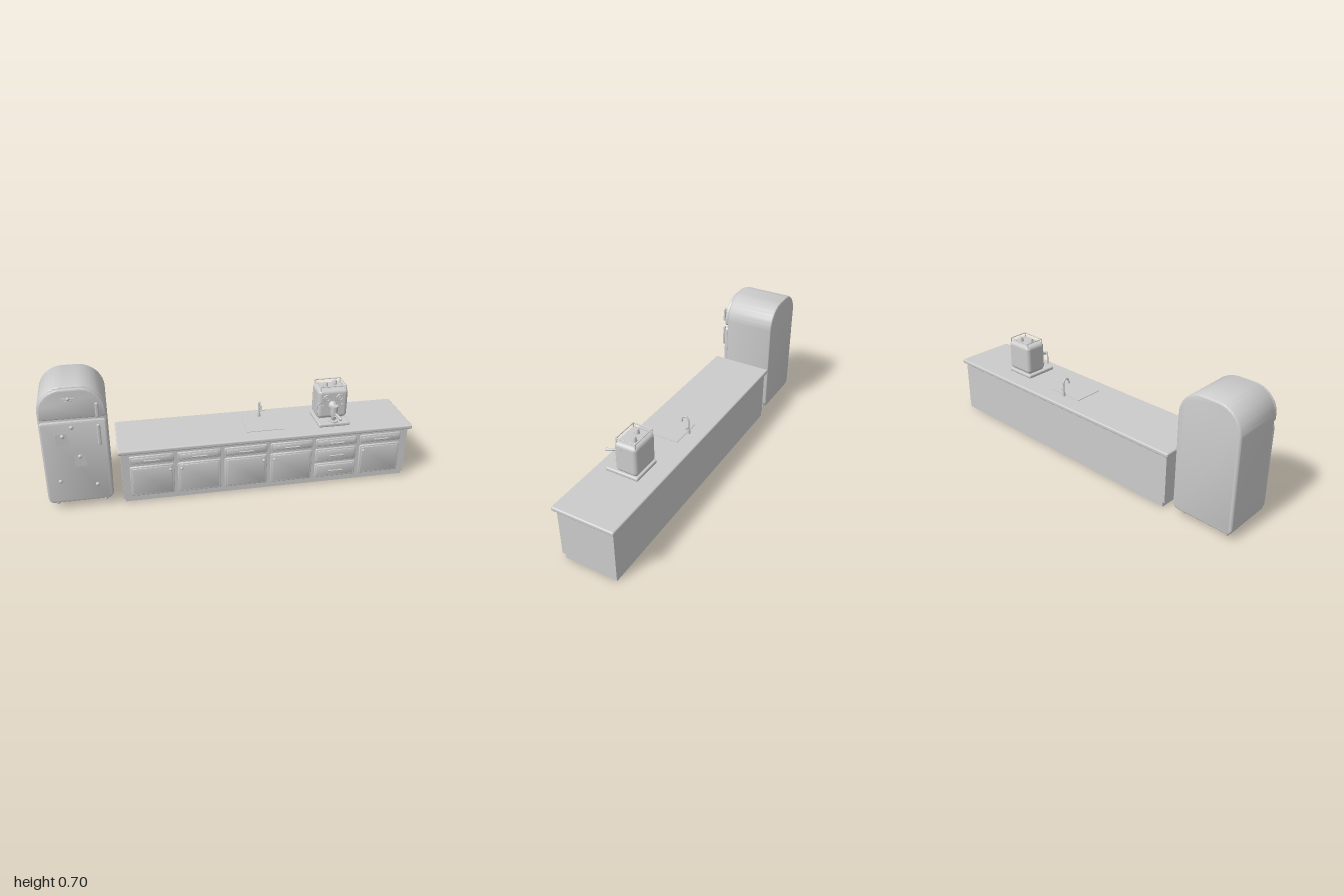
import * as THREE from 'three';
import { toCreasedNormals } from 'three/addons/utils/BufferGeometryUtils.js';
import { RoundedBoxGeometry } from 'three/addons/geometries/RoundedBoxGeometry.js';

const mat = new THREE.MeshStandardMaterial({ color: 0xcccccc });

function add(parent, name, geo, x = 0, y = 0, z = 0) {
  const m = new THREE.Mesh(geo, mat);
  m.name = name;
  m.position.set(x, y, z);
  parent.add(m);
  return m;
}

function group(parent, name, x = 0, y = 0, z = 0) {
  const g = new THREE.Group();
  g.name = name;
  g.position.set(x, y, z);
  parent.add(g);
  return g;
}

// Box or rounded box given by its limits
function boxAt(parent, name, [x0, x1], [y0, y1], [z0, z1], r = 0) {
  const s = [x1 - x0, y1 - y0, z1 - z0];
  const geo = r ? new RoundedBoxGeometry(...s, 3, r) : new THREE.BoxGeometry(...s);
  return add(parent, name, geo, (x0 + x1) / 2, (y0 + y1) / 2, (z0 + z1) / 2);
}

// Slab with separate top and bottom corner radii and softened edges, along z
function slab(parent, name, [x0, x1], [y0, y1], [z0, z1], rTop, rBottom, b) {
  const s = new THREE.Shape();
  const l = x0 + b, r = x1 - b, d = y0 + b, u = y1 - b;
  s.moveTo(l + rBottom, d);
  s.lineTo(r - rBottom, d);
  s.absarc(r - rBottom, d + rBottom, rBottom, -Math.PI / 2, 0);
  s.lineTo(r, u - rTop);
  s.absarc(r - rTop, u - rTop, rTop, 0, Math.PI / 2);
  s.lineTo(l + rTop, u);
  s.absarc(l + rTop, u - rTop, rTop, Math.PI / 2, Math.PI);
  s.lineTo(l, d + rBottom);
  s.absarc(l + rBottom, d + rBottom, rBottom, Math.PI, Math.PI * 1.5);
  const geo = new THREE.ExtrudeGeometry(s, {
    depth: z1 - z0 - 2 * b, bevelSize: b, bevelThickness: b, bevelSegments: 4, curveSegments: 12,
  });
  return add(parent, name, toCreasedNormals(geo, 0.6), 0, 0, z0 + b);
}

function rod(parent, name, a, b, r0, r1 = r0, sides = 16) {
  const p = new THREE.Vector3(...a), q = new THREE.Vector3(...b);
  const dir = q.clone().sub(p);
  const m = add(parent, name, new THREE.CylinderGeometry(r1, r0, dir.length(), sides));
  m.position.copy(p).add(q).multiplyScalar(0.5);
  m.quaternion.setFromUnitVectors(new THREE.Vector3(0, 1, 0), dir.normalize());
  return m;
}

function tube(parent, name, points, r) {
  const curve = new THREE.CatmullRomCurve3(points.map((p) => new THREE.Vector3(...p)));
  return add(parent, name, new THREE.TubeGeometry(curve, 32, r, 10));
}

function buildFridge(root) {
  const f = group(root, 'fridge');
  slab(f, 'fridgeBody', [-1, -0.655], [0.03, 0.7], [-0.163, 0.123], 0.125, 0.02, 0.012);
  slab(f, 'freezerDoor', [-0.995, -0.66], [0.527, 0.69], [0.12, 0.142], 0.118, 0.008, 0.008);
  slab(f, 'fridgeDoor', [-0.995, -0.66], [0.037, 0.512], [0.12, 0.142], 0.008, 0.02, 0.008);

  // Upright door handles on two posts
  for (const [y0, y1] of [[0.538, 0.618], [0.378, 0.498]]) {
    const h = group(f, 'fridgeHandle', -0.702, 0, 0);
    boxAt(h, 'handleGrip', [-0.009, 0.009], [y0, y1], [0.157, 0.171], 0.006);
    for (const y of [y0 + 0.02, y1 - 0.02]) rod(h, 'handlePost', [0, y, 0.14], [0, y, 0.16], 0.005);
  }

  // Small winged badge
  const badge = group(f, 'badge', -0.838, 0.638, 0.143);
  add(badge, 'badgeCentre', new THREE.SphereGeometry(0.01, 16, 10)).scale.set(1, 1, 0.7);
  for (const s of [-1, 1]) {
    add(badge, 'badgeWing', new RoundedBoxGeometry(0.03, 0.006, 0.006, 2, 0.002), s * 0.02, 0.002, 0).rotation.z = s * 0.12;
  }
  add(badge, 'badgeBar', new RoundedBoxGeometry(0.035, 0.005, 0.006, 2, 0.002), 0, -0.011, 0);

  // Notes and magnets
  for (const [x, y, tilt] of [[-0.893, 0.413, 0.06], [-0.808, 0.285, -0.05]]) {
    add(f, 'paperNote', new THREE.BoxGeometry(0.06, 0.068, 0.002), x, y, 0.1425).rotation.z = tilt;
  }
  for (const [x, y] of [[-0.837, 0.48], [-0.887, 0.432], [-0.81, 0.31], [-0.922, 0.17], [-0.735, 0.134]]) {
    add(f, 'magnet', new THREE.SphereGeometry(0.011, 16, 10), x, y, 0.145).scale.z = 0.75;
  }

  for (const x of [-0.955, -0.7]) for (const z of [-0.125, 0.085]) {
    rod(f, 'fridgeLeg', [x, 0.006, z], [x, 0.04, z], 0.008, 0.011);
    rod(f, 'fridgeFoot', [x, 0, z], [x, 0.008, z], 0.01);
  }
}

function panel(parent, name, x, y0, y1) {
  slab(parent, name, [x - 0.117, x + 0.117], [y0, y1], [0.15, 0.163], 0.004, 0.004, 0.005);
  slab(parent, name + 'Centre', [x - 0.105, x + 0.105], [y0 + 0.01, y1 - 0.01], [0.155, 0.166], 0.002, 0.002, 0.003);
}

function barPull(parent, x, y) {
  const g = group(parent, 'drawerPull', x, y, 0);
  rod(g, 'pullBar', [-0.04, 0, 0.176], [0.04, 0, 0.176], 0.0035);
  for (const s of [-0.03, 0.03]) rod(g, 'pullPost', [s, 0, 0.16], [s, 0, 0.176], 0.0025);
}

function buildCabinets(root) {
  const c = group(root, 'cabinets');
  boxAt(c, 'cabinetBody', [-0.605, 0.98], [0.027, 0.31], [-0.162, 0.155]);
  boxAt(c, 'plinth', [-0.595, 0.978], [0, 0.03], [-0.162, 0.137]);
  boxAt(c, 'worktop', [-0.62, 1], [0.304, 0.328], [-0.178, 0.172], 0.008);

  // Six bays; knob side is -1, 1, or 0 for a stack of drawers
  [1, -1, 1, -1, 0, -1].forEach((side, i) => {
    const x = -0.446 + i * 0.2536;
    panel(c, 'drawer', x, 0.238, 0.287);
    barPull(c, x, 0.263);
    if (side === 0) {
      for (const [y0, y1] of [[0.144, 0.225], [0.045, 0.132]]) {
        panel(c, 'drawer', x, y0, y1);
        barPull(c, x, (y0 + y1) / 2);
      }
    } else {
      panel(c, 'cupboardDoor', x, 0.045, 0.224);
      const k = x + side * 0.097;
      rod(c, 'knobStem', [k, 0.195, 0.16], [k, 0.195, 0.17], 0.004);
      add(c, 'knob', new THREE.SphereGeometry(0.008, 14, 10), k, 0.195, 0.171);
    }
  });
}

function buildSink(root) {
  const s = group(root, 'sink', 0.186, 0.328, 0);
  boxAt(s, 'sinkRim', [-0.104, 0.104], [-0.004, 0.003], [-0.08, 0.085]);
  // Tap with gooseneck and side lever
  rod(s, 'tapBase', [0, 0, -0.09], [0, 0.025, -0.09], 0.01, 0.007);
  tube(s, 'tapSpout', [[0, 0.015, -0.09], [0, 0.05, -0.09], [0, 0.083, -0.088], [0, 0.099, -0.072],
    [0, 0.088, -0.054], [0, 0.07, -0.05]], 0.0045);
  rod(s, 'tapNozzle', [0, 0.064, -0.049], [0, 0.074, -0.05], 0.006);
  rod(s, 'tapLever', [0, 0.034, -0.09], [0.032, 0.042, -0.086], 0.004, 0.003);
}

function buildCoffeeMachine(root) {
  const m = group(root, 'coffeeMachine', 0.57, 0, 0);
  boxAt(m, 'machineBase', [-0.09, 0.088], [0.328, 0.349], [-0.08, 0.109], 0.008);
  boxAt(m, 'machineBody', [-0.083, 0.088], [0.351, 0.522], [-0.079, 0.049], 0.022);
  boxAt(m, 'bodyFoot', [-0.07, 0.07], [0.34, 0.36], [-0.065, 0.035]);
  rod(m, 'sideCap', [0.08, 0.487, 0.016], [0.0895, 0.487, 0.016], 0.011, 0.011, 24);

  // Cup rail on top
  const xs = [-0.07, 0.075], zs = [-0.069, 0.039];
  for (const x of xs) {
    rod(m, 'railSide', [x, 0.54, zs[0]], [x, 0.54, zs[1]], 0.0028);
    for (const z of zs) {
      rod(m, 'railPost', [x, 0.505, z], [x, 0.541, z], 0.0028);
      add(m, 'railCorner', new THREE.SphereGeometry(0.004, 10, 8), x, 0.54, z);
    }
  }
  for (const z of zs) rod(m, 'railBar', [xs[0], 0.54, z], [xs[1], 0.54, z], 0.0028);

  // Cups: open tapered bowls, two upside down on top and one below the spouts
  const profile = [[0, 0], [0.009, 0], [0.013, 0.008], [0.0155, 0.024], [0.0135, 0.024], [0.011, 0.008], [0, 0.004]];
  const cupGeo = toCreasedNormals(new THREE.LatheGeometry(profile.map((p) => new THREE.Vector2(...p)), 24), 0.7);
  for (const [x, z] of [[-0.03, -0.008], [0.03, -0.032]]) add(m, 'storedCup', cupGeo, x, 0.545, z).rotation.x = Math.PI;
  add(m, 'coffeeCup', cupGeo, 0, 0.355, 0.077);
  add(m, 'cupHandle', new THREE.TorusGeometry(0.007, 0.002, 8, 16), 0.017, 0.368, 0.077);
  rod(m, 'dripTray', [0, 0.345, 0.08], [0, 0.355, 0.08], 0.026, 0.026, 28);

  // Gauges and buttons on the front
  for (const x of [-0.037, 0.037]) {
    rod(m, 'gauge', [x, 0.478, 0.045], [x, 0.478, 0.056], 0.019, 0.018, 24);
    add(m, 'gaugeRing', new THREE.TorusGeometry(0.017, 0.003, 8, 24), x, 0.478, 0.056);
    rod(m, 'gaugeHub', [x, 0.478, 0.055], [x, 0.478, 0.062], 0.006);
  }
  for (const x of [-0.055, 0.055]) rod(m, 'button', [x, 0.43, 0.045], [x, 0.43, 0.056], 0.008);

  // Brew head, spouts and filter handle
  rod(m, 'brewNeck', [0, 0.432, 0.042], [0, 0.424, 0.07], 0.026, 0.018, 24);
  rod(m, 'brewHead', [0, 0.394, 0.078], [0, 0.442, 0.078], 0.02, 0.022, 28);
  for (const s of [-1, 1]) rod(m, 'brewSpout', [s * 0.007, 0.38, 0.077], [s * 0.004, 0.396, 0.077], 0.004);
  rod(m, 'filterArm', [0.002, 0.403, 0.09], [0.007, 0.4, 0.112], 0.005);
  rod(m, 'filterHandle', [0.006, 0.401, 0.108], [0.015, 0.393, 0.148], 0.006, 0.009);
  add(m, 'filterHandleEnd', new THREE.SphereGeometry(0.009, 14, 10), 0.015, 0.393, 0.148);

  // Steam wand on the right side
  tube(m, 'steamWand', [[-0.06, 0.445, 0.04], [-0.073, 0.452, 0.056], [-0.088, 0.45, 0.06],
    [-0.094, 0.43, 0.06], [-0.093, 0.39, 0.06]], 0.0035);
  rod(m, 'steamTip', [-0.093, 0.384, 0.06], [-0.093, 0.4, 0.06], 0.004, 0.005);
}

export function createModel() {
  const root = new THREE.Group();
  root.name = 'kitchen';
  buildFridge(root);
  buildCabinets(root);
  buildSink(root);
  buildCoffeeMachine(root);
  return root;
}
